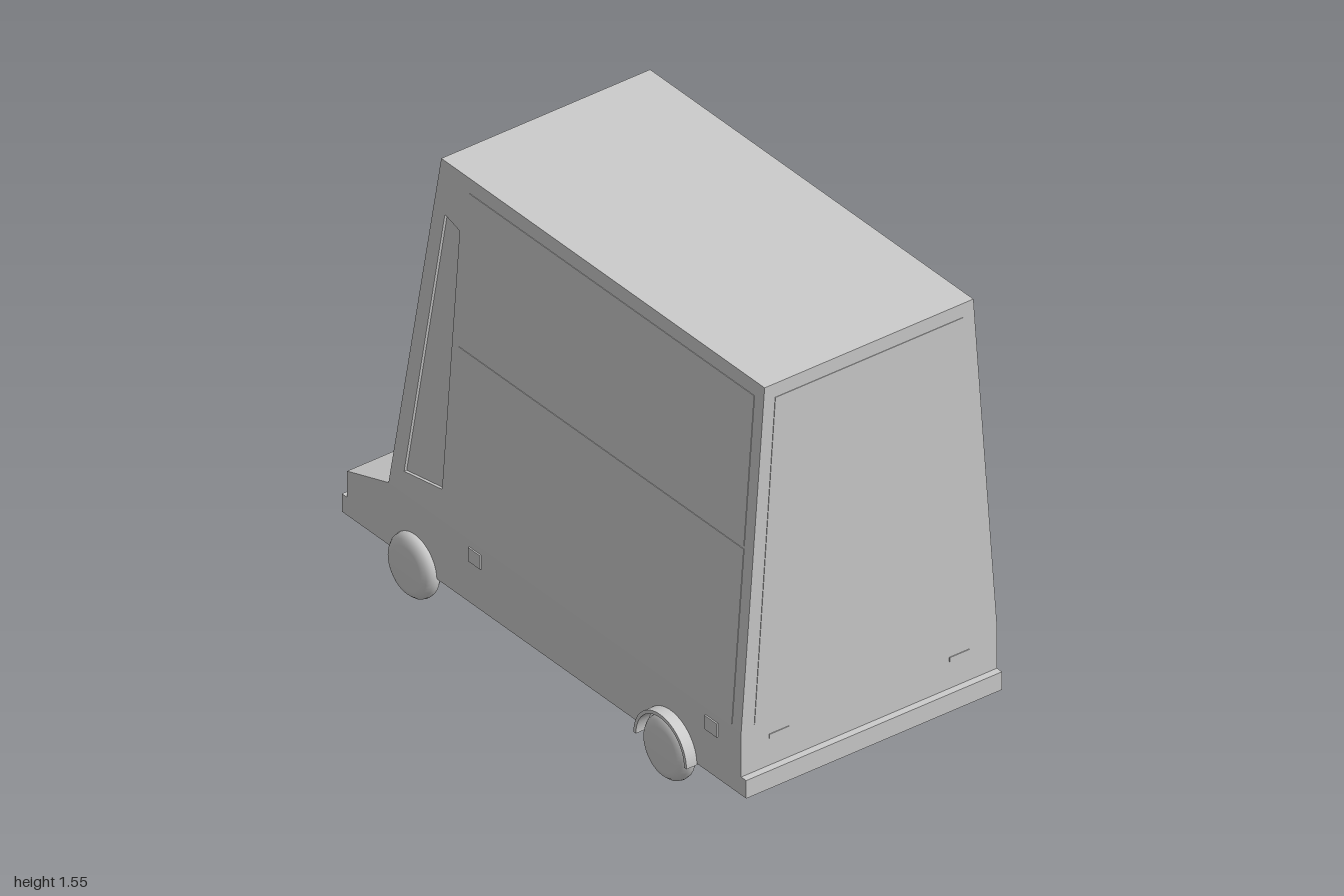
import * as THREE from 'three';

const BASE = 0.345, TOP = 1.56;
const mat = new THREE.MeshStandardMaterial({ color: 0xcccccc, side: THREE.DoubleSide });

// Half width of the tapering cabin, and depth of the raked windscreen, by height
const halfWidth = y => 0.49 - (y - BASE) * 0.09 / (TOP - BASE);
const noseZ = y => -0.77 + (y - BASE) * 0.145 / (TOP - BASE);

// Each wall maps (across, up, outward) to space
const sideWall = s => (a, b, d) => [s * (halfWidth(b) + d), b, a];
const screenWall = (a, b, d) => [a, b, noseZ(b) - d];
const rearWall = (a, b, d) => [a, b, 0.975 + d];

const v2 = pts => pts.map(p => new THREE.Vector2(...p));
const rect = (a0, a1, b0, b1) => [[a0, b0], [a1, b0], [a1, b1], [a0, b1]];
const taper = (w0, w1, b0, b1) => [[-w0, b0], [w0, b0], [w1, b1], [-w1, b1]];

export function createModel() {
  const van = new THREE.Group();
  van.name = 'van';

  const add = (name, geo, x = 0, y = 0, z = 0) => {
    const mesh = new THREE.Mesh(geo, mat);
    mesh.name = name;
    mesh.position.set(x, y, z);
    van.add(mesh);
    return mesh;
  };
  const box = (name, x0, x1, y0, y1, z0, z1) =>
    add(name, new THREE.BoxGeometry(x1 - x0, y1 - y0, z1 - z0), (x0 + x1) / 2, (y0 + y1) / 2, (z0 + z1) / 2);

  // Flat slab between two outward distances, laid on a wall
  const slab = (name, map, outline, d0, d1, holes = []) => {
    const shape = new THREE.Shape(v2(outline));
    holes.forEach(h => shape.holes.push(new THREE.Path(v2(h))));
    const geo = new THREE.ExtrudeGeometry(shape, { depth: d1 - d0, bevelEnabled: false });
    const pos = geo.attributes.position;
    for (let i = 0; i < pos.count; i++)
      pos.setXYZ(i, ...map(pos.getX(i), pos.getY(i), pos.getZ(i) + d0));
    // Turn the corners round where the wall map mirrors
    const o = new THREE.Vector3(...map(0, 0, 0));
    const [u, v, w] = [[1, 0, 0], [0, 1, 0], [0, 0, 1]].map(p => new THREE.Vector3(...map(...p)).sub(o));
    if (u.cross(v).dot(w) < 0) {
      for (let i = 0; i < pos.count; i += 3) {
        const p = new THREE.Vector3().fromBufferAttribute(pos, i + 1);
        pos.setXYZ(i + 1, pos.getX(i + 2), pos.getY(i + 2), pos.getZ(i + 2));
        pos.setXYZ(i + 2, p.x, p.y, p.z);
      }
    }
    geo.computeVertexNormals();
    return add(name, geo);
  };

  // Lower body with bonnet and a rear wheel tunnel, extruded across the width
  const low = new THREE.Shape();
  low.moveTo(-0.975, 0.12);
  low.lineTo(0.505, 0.12);
  low.absarc(0.625, 0.12, 0.12, Math.PI, 0, true);
  low.lineTo(0.975, 0.12);
  low.lineTo(0.975, BASE);
  low.lineTo(-0.77, BASE);
  low.lineTo(-0.975, 0.28);
  const lowGeo = new THREE.ExtrudeGeometry(low, { depth: 0.98, bevelEnabled: false, curveSegments: 24 });
  lowGeo.translate(0, 0, -0.49).rotateY(-Math.PI / 2);
  add('lowerBody', lowGeo);

  // Cabin walls with window openings
  const sideOutline = [[0.975, BASE], [0.975, TOP], [-0.625, TOP], [-0.77, BASE]];
  const cabWindow = [[-0.515, 0.45], [-0.515, 1.36], [-0.59, 1.38], [-0.70, 0.42]];
  const hatch = rect(-0.262, 0.712, 0.615, 1.375);
  for (const s of [1, -1]) {
    const wall = sideWall(s);
    slab(s > 0 ? 'leftWall' : 'rightWall', wall, sideOutline, -0.03, 0, s > 0 ? [cabWindow, hatch] : [cabWindow]);
    slab('cabWindow', wall, cabWindow, -0.02, -0.01);
  }
  slab('rearWall', rearWall, taper(0.49, 0.4, BASE, TOP), -0.03, 0);
  box('roof', -0.4, 0.4, 1.54, TOP, -0.625, 0.975);

  // Windscreen with a stepped rim
  const screen = taper(0.435, 0.37, 0.42, 1.36);
  const glass = taper(0.413, 0.352, 0.445, 1.335);
  slab('windscreenWall', screenWall, taper(0.49, 0.4, BASE, TOP), -0.03, 0, [screen]);
  slab('windscreenRim', screenWall, screen, -0.03, -0.012, [glass]);
  slab('windscreen', screenWall, glass, -0.03, -0.022);

  // Serving window on the left side
  slab('servingFrame', sideWall(1), rect(-0.295, 0.747, 0.58, 1.41), 0, 0.012, [hatch]);
  slab('servingWindow', sideWall(1), hatch, -0.03, -0.022);

  // Thin panels and latches on the right side and the rear
  slab('upperFlap', sideWall(-1), rect(-0.48, 0.93, 0.98, 1.51), 0, 0.002);
  slab('lowerFlap', sideWall(-1), rect(-0.48, 0.93, 0.355, 0.97), 0, 0.002);
  slab('rearDoor', rearWall, taper(0.44, 0.36, 0.355, 1.51), 0, 0.002);
  for (const z of [-0.34, 0.83]) box('flapLatch', -0.495, -0.485, 0.27, 0.32, z - 0.03, z + 0.03);
  for (const s of [-1, 1]) box('rearLatch', s * 0.345 - 0.038, s * 0.345 + 0.038, 0.283, 0.298, 0.97, 0.978);

  // Bumpers
  box('frontBumper', -0.49, 0.49, 0.12, 0.185, -1, -0.97);
  box('rearBumper', -0.49, 0.49, 0.12, 0.185, 0.97, 1);

  // Headlights and grille
  for (const s of [-1, 1]) box('headlight', s * 0.27 - 0.08, s * 0.27 + 0.08, 0.2, 0.263, -0.993, -0.97);
  box('grille', -0.12, 0.12, 0.2, 0.263, -0.978, -0.97);
  for (let i = 0; i < 6; i++) box('grilleSlat', -0.12, 0.12, 0.2 + i * 0.0115, 0.2055 + i * 0.0115, -0.984, -0.975);

  // Wheels with rounded shoulders
  const wheelProfile = v2([[0, -0.035], [0.075, -0.035], [0.095, -0.028], [0.107, -0.014], [0.11, 0],
    [0.107, 0.014], [0.095, 0.028], [0.075, 0.035], [0, 0.035]]);
  const wheelGeo = new THREE.LatheGeometry(wheelProfile, 40).rotateZ(-Math.PI / 2);
  for (const s of [-1, 1])
    for (const z of [0.625, -0.64]) add(z > 0 ? 'rearWheel' : 'frontWheel', wheelGeo, s * 0.492, 0.115, z);

  // Arched rear mudguards
  const arch = new THREE.Shape();
  arch.absarc(0, 0, 0.131, 0, Math.PI, false);
  arch.absarc(0, 0, 0.119, Math.PI, 0, true);
  const archGeo = new THREE.ExtrudeGeometry(arch, { depth: 0.045, bevelEnabled: false, curveSegments: 24 });
  archGeo.translate(0, 0, -0.0225).rotateY(Math.PI / 2);
  for (const s of [-1, 1]) add('rearMudguard', archGeo, s * 0.5075, 0.115, 0.625);

  return van;
}
